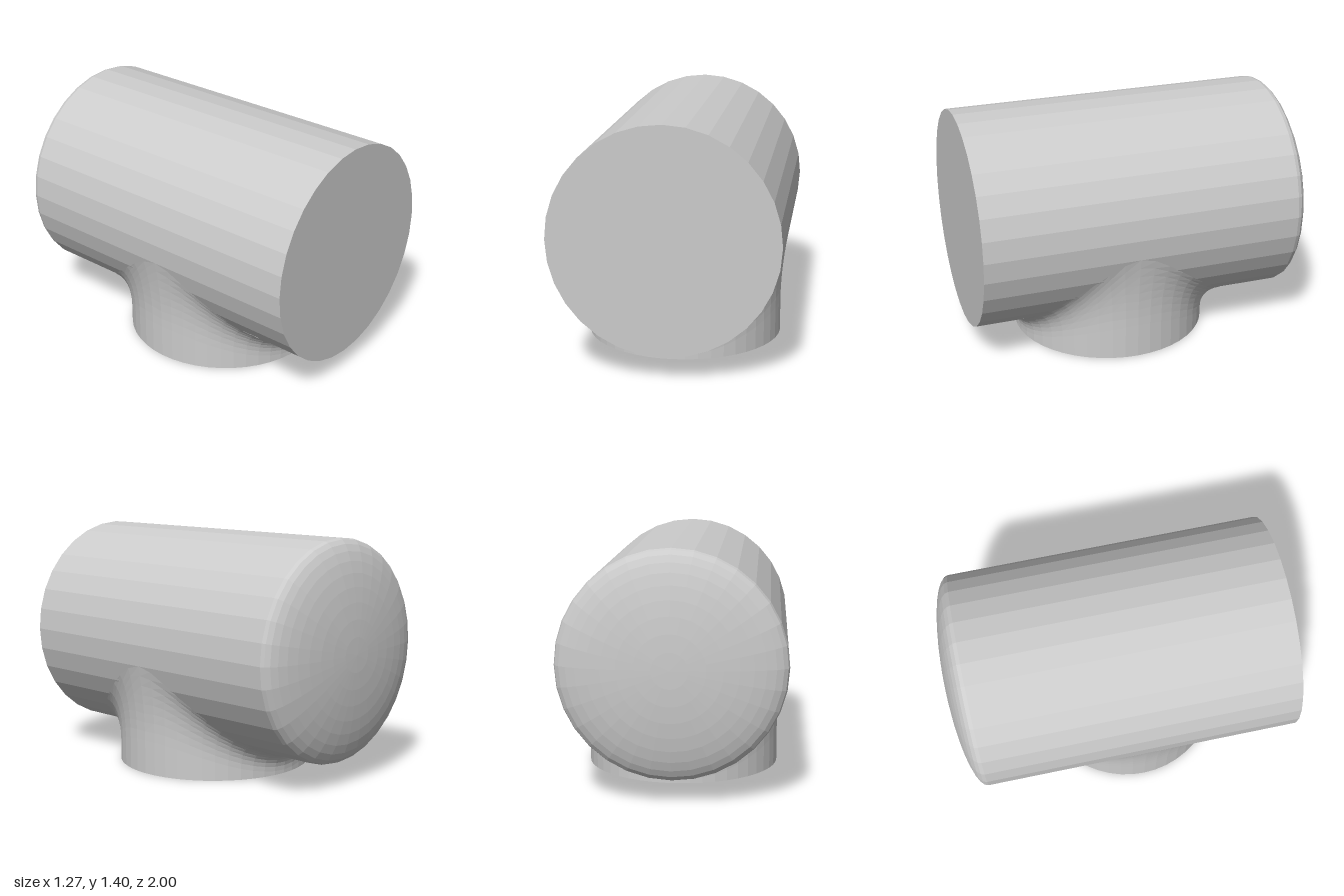
import * as THREE from 'three';

const R = 0.634, AXIS_Y = 0.767;          // main barrel
const BRANCH_R = 0.575, BRANCH_Z = 0.1;   // vertical outlet
const CAP = 0.14;                         // depth of the domed end

// Closed horizontal barrel: flat front, elliptical dome at the back
function barrelGeometry() {
  const profile = [new THREE.Vector2(0, -1), new THREE.Vector2(R, -1)];
  for (let i = 0; i <= 10; i++) {
    const a = (i / 10) * Math.PI / 2;
    profile.push(new THREE.Vector2(i === 10 ? 0 : R * Math.cos(a), 1 - CAP + CAP * Math.sin(a)));
  }
  return new THREE.LatheGeometry(profile, 32)
    .rotateX(-Math.PI / 2)
    .translate(0, AXIS_Y, 0);
}

// Outlet wall at one angle, flaring tangentially into the barrel
function branchSection(angle, steps) {
  const c = Math.cos(angle), s = Math.sin(angle);
  const bx = BRANCH_R * c, bz = BRANCH_Z + BRANCH_R * s;
  const ux = 0.622 * c, uz = BRANCH_Z + 0.71 * s;
  const drop = Math.sqrt(R * R - ux * ux);
  const uy = AXIS_Y - drop;
  const low = 0.02 + 0.18 * c * c;
  const bend = Math.max(low, uy + (ux * (bx - ux)) / drop);
  const curve = new THREE.QuadraticBezierCurve3(
    new THREE.Vector3(bx, low, bz),
    new THREE.Vector3(bx, bend, bz),
    new THREE.Vector3(ux, uy, uz));
  return [new THREE.Vector3(bx, 0, bz), ...curve.getPoints(steps)];
}

function branchGeometry(sides = 48, steps = 8) {
  const positions = [], index = [], rows = steps + 2;
  for (let i = 0; i < sides; i++) {
    for (const p of branchSection((i / sides) * Math.PI * 2, steps)) positions.push(p.x, p.y, p.z);
  }
  const centre = sides * rows;
  positions.push(0, 0, BRANCH_Z);
  for (let i = 0; i < sides; i++) {
    const a = i * rows, b = ((i + 1) % sides) * rows;
    for (let j = 0; j < rows - 1; j++) {
      index.push(a + j, a + j + 1, b + j, b + j, a + j + 1, b + j + 1);
    }
    index.push(centre, a, b); // flat underside
  }
  const geometry = new THREE.BufferGeometry();
  geometry.setAttribute('position', new THREE.Float32BufferAttribute(positions, 3));
  geometry.setIndex(index);
  geometry.computeVertexNormals();
  return geometry;
}

export function createModel() {
  const group = new THREE.Group();
  group.name = 'pipeTee';
  const material = new THREE.MeshStandardMaterial({ color: 0xcccccc, flatShading: true });
  const add = (name, geometry) => {
    const mesh = new THREE.Mesh(geometry, material);
    mesh.name = name;
    group.add(mesh);
  };
  add('barrel', barrelGeometry());
  add('flaredOutlet', branchGeometry());
  return group;
}
